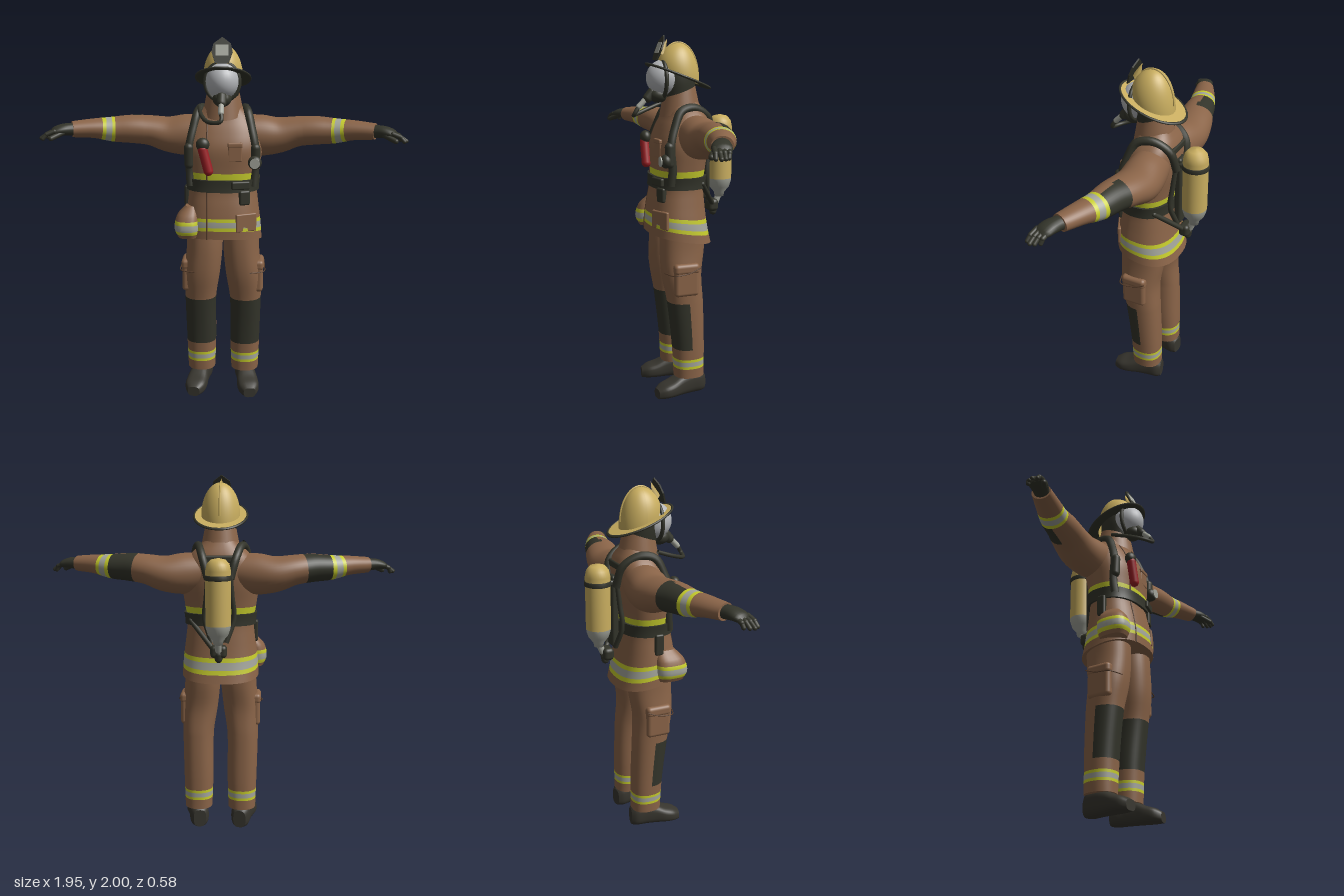
import * as THREE from 'three';
import { RoundedBoxGeometry } from 'three/addons/geometries/RoundedBoxGeometry.js';

const V = (x, y, z) => new THREE.Vector3(x, y, z);

export function createModel() {
  const root = new THREE.Group();
  root.name = 'firefighter';
  const mat = (name, color) => Object.assign(new THREE.MeshStandardMaterial({ color, side: THREE.DoubleSide }), { name });
  const cloth = mat('brown cloth', 0x8a6448), seam = mat('seam brown', 0x5a3f2c);
  const dark = mat('dark padding', 0x33342a), boot = mat('boot rubber', 0x37352e);
  const lime = mat('lime tape', 0xc6cc2c), silver = mat('silver tape', 0xa3a59b);
  const shell = mat('helmet yellow', 0xc8ad5f), glass = mat('visor grey', 0xb4b6b9), red = mat('red', 0x9a1f24);

  function add(name, geo, material, parent = root) {
    const m = new THREE.Mesh(geo, material);
    m.name = name;
    parent.add(m);
    return m;
  }
  // Smooth interpolation of [x, y, z, radiusA, radiusB] keys along one axis
  function sample(keys, axis, t) {
    let i = 0;
    while (i < keys.length - 2 && t > keys[i + 1][axis]) i++;
    const slope = (j, k) => {
      const a = keys[Math.max(j - 1, 0)], b = keys[Math.min(j + 1, keys.length - 1)];
      return (b[k] - a[k]) / (b[axis] - a[axis]);
    };
    const p = keys[i], q = keys[i + 1], h = q[axis] - p[axis], u = (t - p[axis]) / h, u2 = u * u, u3 = u2 * u;
    return p.map((_, k) => k === axis ? t : (2 * u3 - 3 * u2 + 1) * p[k] + (3 * u2 - 2 * u3) * q[k]
      + h * ((u3 - 2 * u2 + u) * slope(i, k) + (u3 - u2) * slope(i + 1, k)));
  }
  // Skin of superellipse rings; paint(t, offset) picks the material of each face
  function loft(name, axis, keys, { cuts = [], rows = 20, seg = 40, n = 2, s = 1, paint, bend, parent } = {}) {
    const t0 = keys[0][axis], t1 = keys[keys.length - 1][axis];
    const ts = [...cuts];
    for (let i = 0; i <= rows; i++) {
      const t = t0 + (t1 - t0) * i / rows;
      if (i === 0 || i === rows || !cuts.some(c => Math.abs(c - t) < 0.006)) ts.push(t);
    }
    ts.sort((a, b) => a - b);
    const pos = [], offs = [], mats = [], lists = [];
    const A = axis === 1 ? V(1, 0, 0) : V(0, 1, 0);
    const rings = ts.map(t => {
      const k = sample(keys, axis, t), T = V(0, 0, 0).setComponent(axis, 1);
      if (axis === 0) {
        const a = sample(keys, 0, Math.max(t - 0.02, t0)), b = sample(keys, 0, Math.min(t + 0.02, t1));
        T.set(b[0] - a[0], b[1] - a[1], b[2] - a[2]).normalize();
      }
      const a = A.clone().addScaledVector(T, -T.dot(A)).normalize(), b = T.clone().cross(a);
      const pw = v => Math.sign(v) * Math.abs(v) ** (2 / n);
      return Array.from({ length: seg }, (_, j) => {
        const w = 2 * Math.PI * j / seg;
        const o = a.clone().multiplyScalar(k[3] * pw(Math.cos(w))).addScaledVector(b, k[4] * pw(Math.sin(w)));
        const p = V(k[0], k[1], k[2]).add(o);
        if (bend) bend(p);
        p.x *= s;
        return { p, o };
      });
    });
    const push = r => { r.forEach(v => { pos.push(...v.p.toArray()); offs.push(v.o); }); };
    const tri = (m, a, b, c) => {
      let i = mats.indexOf(m);
      if (i < 0) { i = mats.push(m) - 1; lists.push([]); }
      lists[i].push(...(s > 0 ? [a, b, c] : [a, c, b]));
    };
    rings.forEach(push);
    for (let i = 0; i < rings.length - 1; i++) for (let j = 0; j < seg; j++) {
      const a = i * seg + j, b = i * seg + (j + 1) % seg, c = b + seg, d = a + seg;
      const m = paint((ts[i] + ts[i + 1]) / 2, offs[a].clone().add(offs[b]).normalize());
      tri(m, a, b, c);
      tri(m, a, c, d);
    }
    for (const e of [0, rings.length - 1]) {
      const base = pos.length / 3, c = V(0, 0, 0);
      push(rings[e]);
      rings[e].forEach(v => c.addScaledVector(v.p, 1 / seg));
      push([{ p: c, o: c }]);
      for (let j = 0; j < seg; j++) {
        const a = base + j, b = base + (j + 1) % seg;
        e ? tri(mats[0], a, b, base + seg) : tri(mats[0], b, a, base + seg);
      }
    }
    const g = new THREE.BufferGeometry();
    g.setAttribute('position', new THREE.Float32BufferAttribute(pos, 3));
    g.setIndex(lists.flat());
    let start = 0;
    lists.forEach((l, i) => { g.addGroup(start, l.length, i); start += l.length; });
    g.computeVertexNormals();
    return add(name, g, mats, parent);
  }
  const tape = (t, a, b) => t < a || t > b ? null : t < a + (b - a) * 0.27 || t > b - (b - a) * 0.27 ? lime : silver;
  const tapeCuts = (a, b) => [a, a + (b - a) * 0.27, b - (b - a) * 0.27, b];
  const tube = (name, pts, r, m) => add(name, new THREE.TubeGeometry(new THREE.CatmullRomCurve3(pts), 40, r, 10), m);
  function rod(name, a, b, r, m) {
    const o = add(name, new THREE.CapsuleGeometry(r, a.distanceTo(b), 6, 14), m);
    o.position.copy(a).lerp(b, 0.5);
    o.quaternion.setFromUnitVectors(V(0, 1, 0), b.clone().sub(a).normalize());
    return o;
  }
  function box(name, x, y, z, w, h, d, m, ry = 0) {
    const o = add(name, new RoundedBoxGeometry(w, h, d, 3, Math.min(w, h, d) * 0.35), m);
    o.position.set(x, y, z);
    o.rotation.y = ry;
    return o;
  }
  function ball(name, x, y, z, rx, ry, rz, m) {
    const o = add(name, new THREE.SphereGeometry(1, 28, 20), m);
    o.position.set(x, y, z);
    o.scale.set(rx, ry, rz);
    return o;
  }

  // Jacket, with a hem that drops at the back
  const coat = [[0, 0.9, 0.03, 0.215, 0.175], [0, 1, 0.04, 0.208, 0.162], [0, 1.1, 0.04, 0.195, 0.148], [0, 1.2, 0.035, 0.186, 0.135],
    [0, 1.3, 0.03, 0.2, 0.14], [0, 1.42, 0.02, 0.214, 0.148], [0, 1.52, 0, 0.195, 0.13], [0, 1.58, -0.01, 0.155, 0.108],
    [0, 1.63, 0, 0.1, 0.09], [0, 1.67, 0.01, 0.075, 0.08]];
  const hem = p => { p.y += 0.18 * (p.z - 0.03) * THREE.MathUtils.clamp((1.15 - p.y) / 0.2, 0, 1); };
  loft('jacket', 1, coat, {
    cuts: [...tapeCuts(0.945, 1.025), 1.25, 1.285], rows: 36, seg: 48, n: 2.4, bend: hem,
    paint: t => tape(t, 0.945, 1.025) || (t > 1.25 && t < 1.285 ? lime : cloth),
  });
  const chest = (x, y, lift = 0) => {
    const k = sample(coat, 1, y);
    return V(x, y, k[2] + lift + k[4] * Math.max(0, 1 - Math.abs(x / k[3]) ** 2.4) ** (1 / 2.4));
  };
  tube('placket seam', [0.93, 1, 1.1, 1.2, 1.3, 1.4, 1.5, 1.57].map(y => chest(-0.08, y, 0.001)), 0.004, seam);
  box('chest pocket', 0.07, 1.4, 0.158, 0.075, 0.1, 0.02, cloth, 0.1);
  box('chest pocket flap', 0.07, 1.44, 0.162, 0.08, 0.025, 0.02, cloth, 0.1);
  loft('hip pocket', 1, [[-0.185, 0.93, 0.12, 0.055, 0.075], [-0.19, 0.98, 0.125, 0.07, 0.09], [-0.185, 1.05, 0.115, 0.06, 0.08], [-0.17, 1.1, 0.1, 0.03, 0.05]],
    { cuts: tapeCuts(0.95, 1.025), n: 2.6, seg: 28, rows: 12, paint: t => tape(t, 0.95, 1.025) || cloth });
  box('left hip pocket', 0.13, 1.02, 0.168, 0.12, 0.1, 0.02, cloth, 0.45);

  // Collar, higher at the back
  const collar = new THREE.CylinderGeometry(0.088, 0.108, 0.1, 32, 4, true);
  const cp = collar.attributes.position;
  for (let i = 0; i < cp.count; i++) cp.setY(i, cp.getY(i) - cp.getZ(i) * 0.35);
  collar.computeVertexNormals();
  add('collar', collar, cloth).position.set(0, 1.65, 0.018);

  // Belt and harness
  loft('belt', 1, [1.185, 1.215, 1.25].map(y => { const k = sample(coat, 1, y); return [0, y, k[2], k[3] + 0.012, k[4] + 0.014]; }),
    { rows: 4, seg: 48, n: 2.4, paint: () => dark });
  box('belt buckle', 0.1, 1.225, 0.172, 0.1, 0.045, 0.025, dark, 0.25);
  box('belt pouch', 0.12, 1.155, 0.158, 0.06, 0.08, 0.03, dark, 0.35);
  box('hip clip', -0.195, 1.14, 0.05, 0.03, 0.12, 0.05, dark);
  for (const s of [-1, 1]) {
    tube('shoulder strap', [V(s * 0.17, 1.21, 0.12), chest(s * 0.175, 1.3), chest(s * 0.175, 1.42), chest(s * 0.155, 1.52), V(s * 0.135, 1.6, 0.05),
      V(s * 0.115, 1.615, -0.03), V(s * 0.09, 1.56, -0.115), V(s * 0.06, 1.45, -0.14)], 0.023, dark);
    tube('back strap', [V(s * 0.06, 1.47, -0.135), V(s * 0.07, 1.35, -0.125), V(s * 0.08, 1.23, -0.115), V(s * 0.04, 1.1, -0.14)], 0.014, dark);
    rod('strap pad', chest(s * 0.178, 1.33, 0.015), chest(s * 0.178, 1.42, 0.015), 0.025, dark);
  }
  box('back plate', 0, 1.3, -0.135, 0.07, 0.4, 0.04, dark);
  box('upper harness', 0, 1.55, -0.115, 0.2, 0.04, 0.03, dark);
  ball('gauge rim', 0.175, 1.345, 0.15, 0.037, 0.037, 0.03, dark);
  const dial = add('gauge dial', new THREE.CylinderGeometry(0.027, 0.027, 0.006, 24), silver);
  dial.position.set(0.175, 1.345, 0.181);
  dial.rotation.x = Math.PI / 2;
  rod('red torch', V(-0.1, 1.42, 0.185), V(-0.07, 1.305, 0.185), 0.026, red);
  ball('torch head', -0.1, 1.445, 0.18, 0.036, 0.036, 0.03, dark);

  // Air cylinder with valve
  const tank = [[0, 1.1], [0.025, 1.105], [0.03, 1.13], [0.055, 1.16], [0.066, 1.195], [0.068, 1.21]];
  const dome = [[0.068, 1.21], [0.068, 1.5], [0.06, 1.535], [0.04, 1.558], [0, 1.567]];
  const lathe = (name, pts, m) => add(name, new THREE.LatheGeometry(pts.map(p => new THREE.Vector2(...p)), 32), m).position.set(0, 0, -0.222);
  lathe('air cylinder base', tank, silver);
  lathe('air cylinder', dome, shell);
  lathe('cylinder strap', [[0.068, 1.45], [0.073, 1.452], [0.073, 1.475], [0.068, 1.477]], dark);
  box('cylinder bracket', 0, 1.463, -0.15, 0.08, 0.03, 0.04, dark);
  rod('valve stem', V(0, 1.12, -0.222), V(0, 1.07, -0.2), 0.018, silver);
  box('valve block', 0, 1.06, -0.175, 0.09, 0.07, 0.06, dark);
  rod('valve knob', V(0, 1.045, -0.19), V(0, 1.02, -0.185), 0.021, dark);
  rod('hip hose', V(0.03, 1.07, -0.17), V(0.16, 1.21, -0.06), 0.014, dark);

  // Limbs
  for (const s of [-1, 1]) {
    const side = s > 0 ? 'left' : 'right';
    loft(side + ' sleeve', 0, [[0.08, 1.48, -0.015, 0.1, 0.1], [0.2, 1.465, -0.028, 0.112, 0.112], [0.3, 1.465, -0.036, 0.098, 0.114], [0.4, 1.487, -0.027, 0.082, 0.103],
      [0.5, 1.497, -0.005, 0.077, 0.09], [0.6, 1.498, 0.014, 0.068, 0.078], [0.7, 1.507, 0.047, 0.053, 0.066], [0.81, 1.507, 0.088, 0.043, 0.052]],
    { s, rows: 28, cuts: [0.455, ...tapeCuts(0.595, 0.665)], paint: (t, o) => tape(t, 0.595, 0.665) || (t > 0.455 && t < 0.595 && o.z < -0.1 ? dark : cloth) });
    loft(side + ' glove', 0, [[0.78, 1.506, 0.078, 0.034, 0.042], [0.82, 1.508, 0.095, 0.034, 0.042], [0.86, 1.508, 0.112, 0.03, 0.048], [0.9, 1.5, 0.125, 0.022, 0.046], [0.915, 1.495, 0.13, 0.01, 0.036]],
      { s, rows: 10, seg: 20, paint: () => dark });
    for (let i = 0; i < 4; i++) {
      const z = 0.093 + i * 0.022, reach = [0.94, 0.957, 0.963, 0.95][i];
      rod(side + ' finger', V(s * 0.89, 1.505, z), V(s * 0.93, 1.49, z + 0.01), 0.0125, dark);
      rod(side + ' fingertip', V(s * 0.93, 1.49, z + 0.01), V(s * reach, 1.468, z + 0.016), 0.011, dark);
    }
    rod(side + ' thumb', V(s * 0.85, 1.495, 0.14), V(s * 0.905, 1.47, 0.178), 0.014, dark);

    loft(side + ' trouser leg', 1, [[0.125, 0.11, 0.005, 0.078, 0.085], [0.125, 0.3, 0.01, 0.084, 0.09], [0.127, 0.55, 0.028, 0.088, 0.1], [0.117, 0.7, 0.045, 0.1, 0.109],
      [0.103, 0.84, 0.038, 0.1, 0.122], [0.1, 0.97, 0.03, 0.1, 0.125]],
    { s, rows: 26, n: 2.3, cuts: [0.28, 0.555, ...tapeCuts(0.165, 0.222)], paint: (t, o) => tape(t, 0.165, 0.222) || (t > 0.28 && t < 0.555 && o.z > -0.02 ? dark : cloth) });
    box(side + ' cargo pocket', s * 0.196, 0.68, 0.045, 0.06, 0.16, 0.14, cloth);
    box(side + ' cargo flap', s * 0.2, 0.755, 0.045, 0.06, 0.06, 0.145, cloth);
    tube(side + ' flap seam', [V(s * 0.15, 0.725, 0.152), V(s * 0.228, 0.727, 0.12), V(s * 0.234, 0.735, 0.04), V(s * 0.228, 0.76, -0.028)], 0.003, seam);
    const foot = loft(side + ' boot', 2, [[0, 0.055, -0.085, 0.05, 0.036], [0, 0.065, -0.06, 0.065, 0.053], [0, 0.068, 0, 0.068, 0.053], [0, 0.06, 0.06, 0.06, 0.055],
      [0, 0.046, 0.12, 0.046, 0.061], [0, 0.038, 0.17, 0.038, 0.056], [0, 0.028, 0.205, 0.028, 0.034]], { n: 2.8, seg: 28, paint: () => boot });
    foot.position.set(s * 0.127, 0, 0);
    foot.rotation.y = s * 0.16;
  }

  // Hood and breathing mask
  loft('hood', 1, [[0, 1.58, 0.01, 0.075, 0.08], [0, 1.66, 0.02, 0.078, 0.085], [0, 1.75, 0.03, 0.09, 0.1], [0, 1.84, 0.03, 0.09, 0.1]], { paint: () => dark });
  ball('visor', 0, 1.77, 0.1, 0.089, 0.098, 0.1, glass);
  const frame = add('mask frame', new THREE.TorusGeometry(0.09, 0.011, 10, 40), dark);
  frame.position.set(0, 1.765, 0.115);
  frame.scale.y = 1.1;
  ball('mask chin', 0, 1.68, 0.135, 0.05, 0.042, 0.055, dark);
  rod('regulator', V(0, 1.695, 0.17), V(0, 1.665, 0.195), 0.026, dark);
  rod('hose nozzle', V(0, 1.66, 0.205), V(0, 1.62, 0.245), 0.015, silver);
  tube('air hose', [V(0, 1.63, 0.24), V(0, 1.58, 0.27), V(-0.06, 1.572, 0.25), V(-0.105, 1.595, 0.17), V(-0.125, 1.63, 0.07)], 0.011, dark);

  // Helmet, with the brim sloping down to the back
  const helmet = new THREE.Group();
  helmet.name = 'helmet';
  helmet.position.set(0, 1.778, 0.022);
  root.add(helmet);
  const slope = (g, f) => {
    const p = g.attributes.position;
    for (let i = 0; i < p.count; i++) p.setY(i, p.getY(i) + 0.38 * p.getZ(i) * f(p.getY(i)));
    g.computeVertexNormals();
    return g;
  };
  const cap = new THREE.SphereGeometry(1, 40, 16, 0, Math.PI * 2, 0, Math.PI / 2).scale(0.106, 0.175, 0.115);
  add('helmet dome', slope(cap, y => 1 - y / 0.175), shell, helmet);
  const brim = lift => slope(new THREE.RingGeometry(0.65, 1, 48, 3).rotateX(-Math.PI / 2).scale(0.145, 1, 0.175).translate(0, lift, 0), () => 1);
  add('brim top', brim(0.004), shell, helmet);
  add('brim underside', brim(-0.004), dark, helmet);
  add('brim edge', slope(new THREE.TorusGeometry(1, 0.04, 8, 48).rotateX(Math.PI / 2).scale(0.145, 0.17, 0.175), () => 1), dark, helmet);
  const ridge = add('helmet ridge', new THREE.TorusGeometry(1, 0.035, 8, 32, Math.PI * 0.85), shell, helmet);
  ridge.geometry.rotateY(Math.PI / 2).scale(0.14, 0.177, 0.115);

  // Front shield on the helmet
  const outline = new THREE.Shape([[-0.035, 0], [0.035, 0], [0.055, 0.06], [0.045, 0.105], [0, 0.14], [-0.045, 0.105], [-0.055, 0.06]].map(p => new THREE.Vector2(...p)));
  const shield = new THREE.Group();
  shield.name = 'front shield';
  shield.position.set(0, 1.862, 0.15);
  shield.rotation.x = -0.38;
  root.add(shield);
  add('shield plate', new THREE.ExtrudeGeometry(outline, { depth: 0.008, bevelEnabled: false }), dark, shield);
  const panel = add('shield panel', new THREE.BoxGeometry(0.066, 0.06, 0.004), silver, shield);
  panel.position.set(0, 0.068, 0.009);
  const crest = add('shield crest', new THREE.ConeGeometry(0.025, 0.09, 4), shell, shield);
  crest.position.set(0, 0.085, -0.02);
  return root;
}
